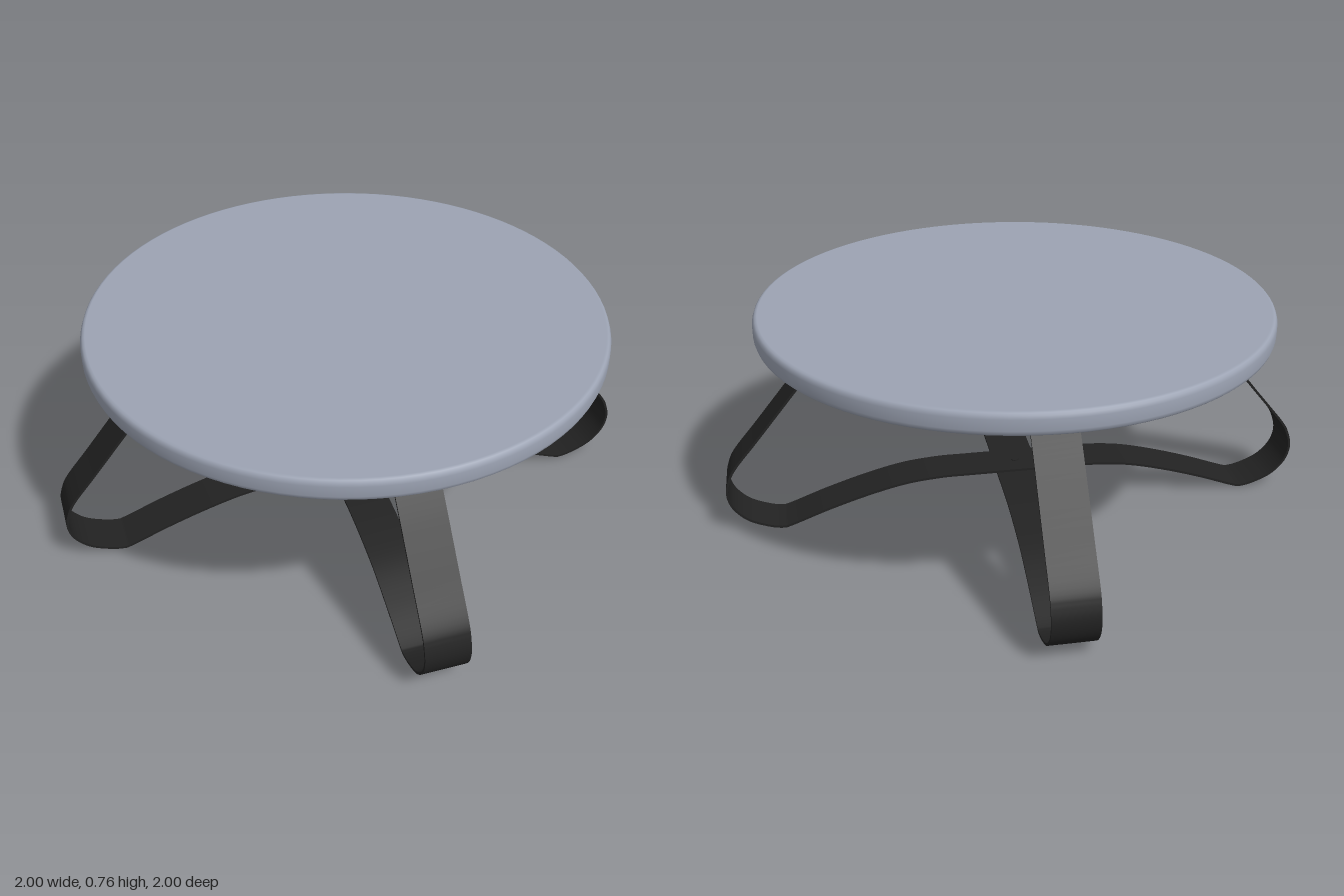
import * as THREE from 'three';
import { toCreasedNormals } from 'three/addons/utils/BufferGeometryUtils.js';

const HALF_THICK = 0.004;
const BAND_WIDTH = 0.148;

// Solid bent strip: one side profile, mirrored, thickened and extruded.
function bandGeometry(midY) {
  const bend = new THREE.SplineCurve([
    [0.58, 0.677], [0.625, 0.642], [0.68, 0.587], [0.74, 0.517], [0.80, 0.443],
    [0.885, 0.338], [0.96, 0.247], [0.985, 0.2], [0.996, 0.148], [0.98, 0.093],
    [0.935, 0.045], [0.875, 0.017], [0.825, 0.005], [0.79, 0.011], [0.66, 0.059],
    [0.52, 0.103], [0.39, midY - 0.013], [0.27, midY - 0.001], [0.18, midY], [0.08, midY], [0, midY],
  ].map(([x, y]) => new THREE.Vector2(x, y)));
  const half = [new THREE.Vector2(0.3, 0.677), ...bend.getPoints(100)];
  const mirrored = half.slice(0, -1).reverse().map((p) => new THREE.Vector2(-p.x, p.y));
  const path = [...half, ...mirrored];
  const outer = [];
  const inner = [];
  path.forEach((p, i) => {
    const a = path[Math.max(i - 1, 0)];
    const b = path[Math.min(i + 1, path.length - 1)];
    const t = b.clone().sub(a).normalize();
    const n = new THREE.Vector2(-t.y, t.x).multiplyScalar(HALF_THICK);
    outer.push(p.clone().add(n));
    inner.push(p.clone().sub(n));
  });
  const shape = new THREE.Shape([...outer, ...inner.reverse()]);
  const geo = new THREE.ExtrudeGeometry(shape, { depth: BAND_WIDTH, bevelEnabled: false });
  geo.translate(0, 0, -BAND_WIDTH / 2);
  return toCreasedNormals(geo, 0.5);
}

export function createModel() {
  const model = new THREE.Group();
  model.name = 'coffeeTable';
  const topMaterial = new THREE.MeshStandardMaterial({ color: 0x9ca3b3 });
  topMaterial.name = 'blueGreyTop';
  const metal = new THREE.MeshStandardMaterial({ color: 0x222222 });
  metal.name = 'blackMetal';

  const add = (parent, name, geometry, material) => {
    const mesh = new THREE.Mesh(geometry, material);
    mesh.name = name;
    parent.add(mesh);
    return mesh;
  };

  // Round top with softened rims
  const R = 0.862;
  const profile = [
    [0, 0.682], [0.845, 0.682], [0.853, 0.685], [0.858, 0.69], [R, 0.702],
    [R, 0.737], [0.858, 0.748], [0.853, 0.754], [0.845, 0.757], [0, 0.757],
  ].map(([x, y]) => new THREE.Vector2(x, y));
  add(model, 'tableTop', new THREE.LatheGeometry(profile, 96), topMaterial);

  // Two crossing bands, one resting on the other
  [['sideBand', 0.147, 0], ['frontBackBand', 0.139, Math.PI / 2]].forEach(([name, midY, turn]) => {
    add(model, name, bandGeometry(midY), metal).rotation.y = turn;
  });

  // Screws under each mounting pad
  const screw = new THREE.SphereGeometry(0.013, 16, 8, 0, Math.PI * 2, 0, Math.PI / 2);
  for (let i = 0; i < 4; i++) {
    const pad = new THREE.Group();
    pad.name = 'padScrews';
    pad.rotation.y = (i * Math.PI) / 2;
    for (const x of [0.378, 0.46]) {
      const head = add(pad, 'screwHead', screw, metal);
      head.position.set(x, 0.674, 0);
      head.rotation.x = Math.PI;
      head.scale.y = 0.8;
    }
    model.add(pad);
  }

  // Bolt joining the bands at the crossing
  add(model, 'crossBolt', new THREE.CylinderGeometry(0.013, 0.013, 0.022, 20), metal).position.y = 0.143;

  return model;
}
